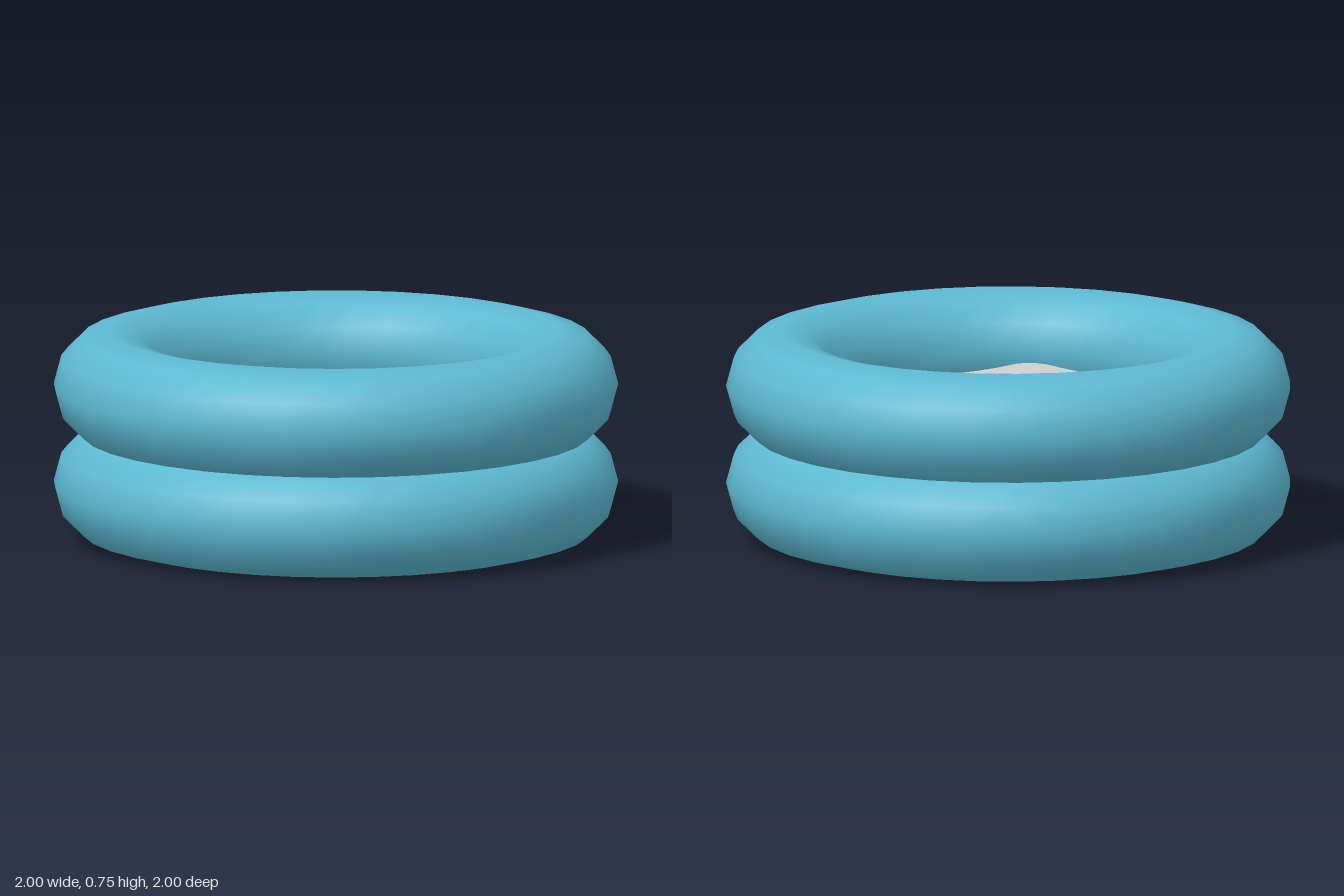
import * as THREE from 'three';
import { mergeVertices } from 'three/addons/utils/BufferGeometryUtils.js';

const SIDES = 35, RING = 0.8, TUBE = 0.2;

// Height of the gathered cloth: twisted folds plus broad lumps
function clothHeight(x, z) {
  const r = Math.hypot(x, z);
  const phi = Math.atan2(z, x);
  const a = phi - 2.2 * r; // folds curl as they run outward
  const grow = THREE.MathUtils.smoothstep(r, 0.02, 0.3);
  const fade = 1 - 0.6 * THREE.MathUtils.smoothstep(r, 0.3, 0.6);
  const folds = 0.013 * Math.sin(9 * a + 0.8 * Math.sin(2 * a + 1)) + 0.006 * Math.sin(14 * a + 2);
  const lumps = 0.018 * Math.sin(4 * phi + 1.9) + 0.012 * Math.sin(7 * phi - 0.6);
  // one tall fold behind the middle
  const d = Math.atan2(Math.sin(a + 2.2), Math.cos(a + 2.2)) / 0.3;
  const tall = 0.045 * Math.exp(-d * d) * Math.exp(-(((r - 0.3) / 0.16) ** 2));
  return 0.465 + 0.06 * r * r + grow * fade * folds + r * 1.5 * lumps + tall;
}

export function createModel() {
  const model = new THREE.Group();
  const blue = new THREE.MeshStandardMaterial({ color: 0x5cb8d1 });
  const grey = new THREE.MeshStandardMaterial({ color: 0xcccccc, side: THREE.DoubleSide });

  const add = (name, geometry, material, y = 0) => {
    const mesh = new THREE.Mesh(geometry, material);
    mesh.name = name;
    mesh.position.y = y;
    model.add(mesh);
  };

  // Two stacked inflated rings
  const ring = new THREE.TorusGeometry(RING, TUBE, 12, SIDES).rotateX(Math.PI / 2);
  add('lowerRing', ring, blue, 0.2);
  add('upperRing', ring, blue, 0.55);

  // Flat floor closing the underside
  add('floor', new THREE.CircleGeometry(RING, SIDES).rotateX(Math.PI / 2), blue);

  // Twisted cloth stretched across the opening, its rim tucked into the upper ring
  let cloth = new THREE.RingGeometry(0.002, 0.7, 105, 32).rotateX(-Math.PI / 2);
  cloth.deleteAttribute('uv');
  cloth.deleteAttribute('normal');
  cloth = mergeVertices(cloth, 1e-5);
  const p = cloth.attributes.position;
  for (let i = 0; i < p.count; i++) p.setY(i, clothHeight(p.getX(i), p.getZ(i)));
  cloth.computeVertexNormals();
  add('cloth', cloth, grey);

  return model;
}
